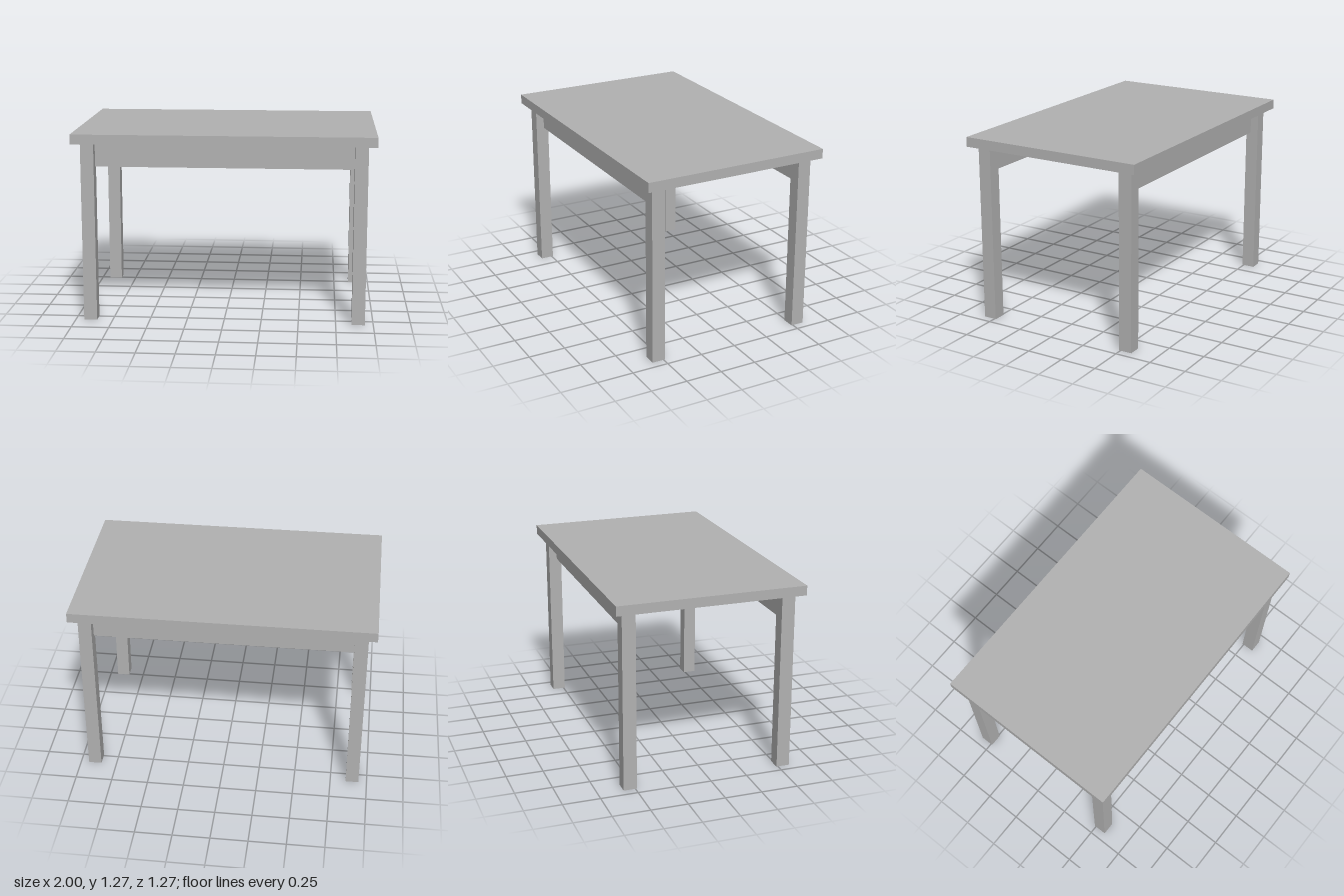
import * as THREE from 'three';

export function createModel() {
  const table = new THREE.Group();
  table.name = 'table';

  const grey = new THREE.MeshStandardMaterial({ color: 0xb2b2b2, side: THREE.DoubleSide });
  grey.name = 'plain grey';

  const topHeight = 1.27, underside = 1.205;

  function add(name, geometry, x, y, z) {
    const mesh = new THREE.Mesh(geometry, grey);
    mesh.name = name;
    mesh.position.set(x, y, z);
    table.add(mesh);
  }

  // Overhanging slab
  const slab = topHeight - underside;
  add('tabletop', new THREE.BoxGeometry(2, slab, 1.266), 0, underside + slab / 2, 0);

  // Square leg tube: a box without its top and bottom faces
  const legGeometry = new THREE.BoxGeometry(0.088, underside, 0.09);
  const index = Array.from(legGeometry.index.array);
  legGeometry.setIndex([...index.slice(0, 12), ...index.slice(24)]);
  legGeometry.clearGroups();

  // Thin rail between the legs on each long side
  const apronGeometry = new THREE.BoxGeometry(1.712, 0.165, 0.028);

  for (const [end, sz] of [['front', 1], ['back', -1]]) {
    for (const [side, sx] of [['Left', 1], ['Right', -1]]) {
      add(`${end}${side}Leg`, legGeometry, sx * 0.9, underside / 2, sz * 0.535);
    }
    add(`${end}Apron`, apronGeometry, 0, underside - 0.0825, sz * 0.509);
  }

  return table;
}
